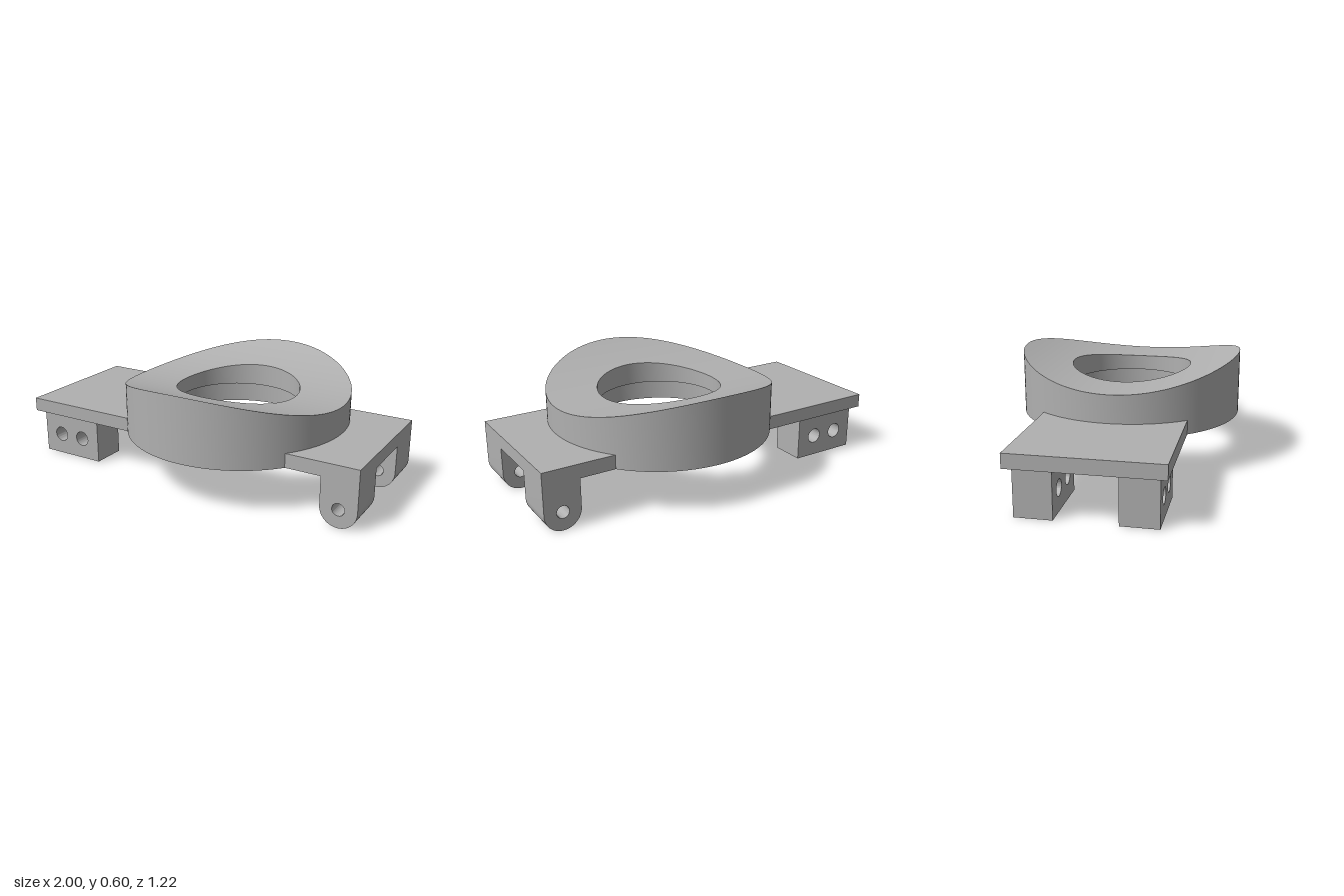
import * as THREE from 'three';
import { toCreasedNormals } from 'three/addons/utils/BufferGeometryUtils.js';

const RING_X = 0.14, RING_R = 0.61, BORE_R = 0.335, RECESS_R = 0.44;
const BASE_Y = 0.25, LEDGE_Y = 0.39, PLATE_T = 0.075, HALF_W = 0.382;
const SADDLE_R = 1.55, SADDLE_Y = 0.475;

export function createModel() {
  const group = new THREE.Group();
  const grey = new THREE.MeshStandardMaterial({ color: 0xb0b0b0 });
  grey.name = 'plain grey';

  const add = (name, geometry) => {
    const mesh = new THREE.Mesh(toCreasedNormals(geometry, 0.6), grey);
    mesh.name = name;
    group.add(mesh);
    return mesh;
  };
  const extrude = (shape, depth) =>
    new THREE.ExtrudeGeometry(shape, { depth, bevelEnabled: false, curveSegments: 40 });
  const drill = (shape, x, y, r) =>
    shape.holes.push(new THREE.Path().absarc(x, y, r, 0, Math.PI * 2, true));

  // Saddle ring: stepped bore, top hollowed by a cylinder lying along x
  const profile = [[RECESS_R, BASE_Y], [RING_R, BASE_Y]];
  const steps = 8;
  for (let i = 0; i <= steps; i++) {
    profile.push([RING_R + (BORE_R - RING_R) * i / steps, 1]);
  }
  profile.push([BORE_R, LEDGE_Y], [RECESS_R, LEDGE_Y], [RECESS_R, BASE_Y]);
  const ring = new THREE.LatheGeometry(profile.map(p => new THREE.Vector2(...p)), 128);
  const pos = ring.attributes.position;
  for (let i = 0; i < pos.count; i++) {
    if (pos.getY(i) < 0.9) continue;
    const z = pos.getZ(i);
    pos.setY(i, SADDLE_Y + SADDLE_R - Math.sqrt(SADDLE_R ** 2 - z * z));
  }
  ring.translate(RING_X, 0, 0);
  add('saddleRing', ring);

  // Flat plates on both sides, ending in an arc that meets the ring
  const joinR = RING_R - 0.005;
  const a = Math.asin(HALF_W / joinR);
  for (const side of [1, -1]) {
    const shape = new THREE.Shape();
    shape.moveTo(side, -HALF_W * side);
    shape.lineTo(side, HALF_W * side);
    const turn = side > 0 ? 0 : Math.PI;
    shape.absarc(RING_X, 0, joinR, turn + a, turn - a, true);
    shape.closePath();
    const plate = extrude(shape, PLATE_T).rotateX(-Math.PI / 2).translate(0, BASE_Y, 0);
    add(side > 0 ? 'leftPlate' : 'rightPlate', plate);
  }

  // Rounded hinge lug with a pin hole
  const lug = new THREE.Shape();
  lug.moveTo(1, BASE_Y);
  lug.lineTo(0.805, BASE_Y);
  lug.absarc(0.9025, 0.0975, 0.0975, Math.PI, Math.PI * 2, false);
  lug.closePath();
  drill(lug, 0.9025, 0.0975, 0.033);

  // Mounting block with two holes
  const block = new THREE.Shape();
  block.moveTo(-0.963, 0);
  block.lineTo(-0.583, 0);
  block.lineTo(-0.583, BASE_Y);
  block.lineTo(-0.963, BASE_Y);
  block.closePath();
  for (const x of [-0.85, -0.698]) drill(block, x, 0.118, 0.042);

  // Front and back pairs
  for (const [name, zLug, zBlock] of [['front', 0.155, 0.155], ['back', -HALF_W, -0.345]]) {
    add(name + 'HingeLug', extrude(lug, HALF_W - 0.155).translate(0, 0, zLug));
    add(name + 'MountingBlock', extrude(block, 0.19).translate(0, 0, zBlock));
  }
  return group;
}
